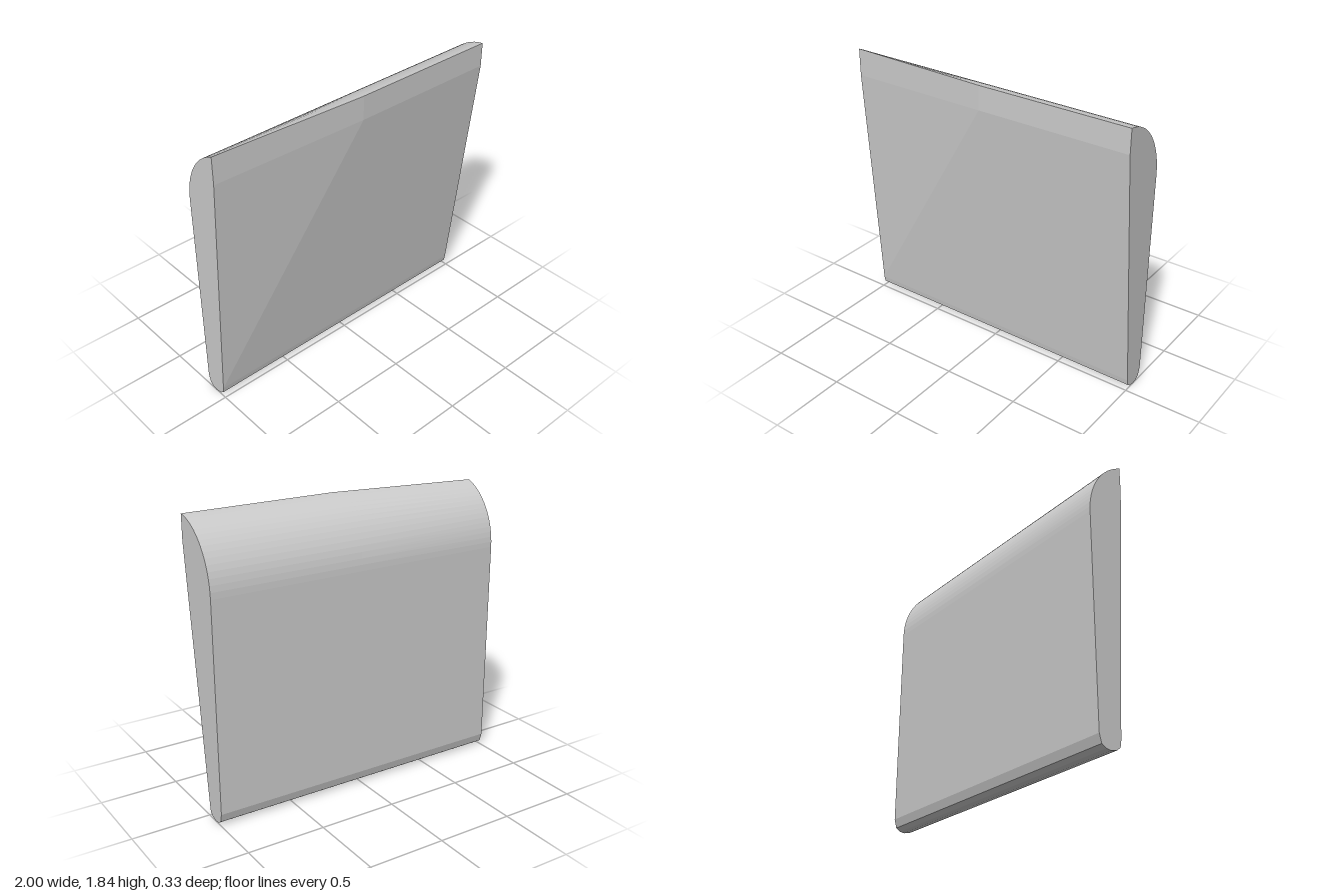
import * as THREE from 'three';

// Closed [z, y] cross-section, from the top front edge down, round the foot and up the back.
function section(zFront, yFront) {
  const points = [
    [zFront, yFront], [-0.013, 0.07], [-0.02, 0.03], [-0.045, 0.01], [-0.09, 0],
    [-0.12, 0.005], [-0.15, 0.025], [-0.165, 0.08],
  ];
  // rounded top: elliptical arc that stops at the front plane
  const cz = 0.2, cy = 1.42, rz = 0.365, ry = 0.417, steps = 16;
  const end = Math.acos((cz - zFront) / rz);
  for (let i = 0; i <= steps; i++) {
    const a = (end * i) / steps;
    points.push([cz - rz * Math.cos(a), cy + ry * Math.sin(a)]);
  }
  return points;
}

// Skin a row of sections along x and close both ends.
function loft(stations) {
  const positions = [];
  const rings = stations.map(({ x, points }) => points.map(([z, y]) => [x, y, z]));
  const tri = (a, b, c) => positions.push(...a, ...b, ...c);
  const n = rings[0].length;
  for (let s = 0; s < rings.length - 1; s++) {
    for (let i = 0; i < n; i++) {
      const j = (i + 1) % n;
      const a = rings[s][i], b = rings[s + 1][i], c = rings[s + 1][j], d = rings[s][j];
      tri(a, d, b);
      tri(d, c, b);
    }
  }
  const first = rings[0], last = rings[rings.length - 1];
  for (let i = 1; i < n - 1; i++) {
    tri(first[0], first[i + 1], first[i]);
    tri(last[0], last[i], last[i + 1]);
  }
  const geometry = new THREE.BufferGeometry();
  geometry.setAttribute('position', new THREE.Float32BufferAttribute(positions, 3));
  geometry.computeVertexNormals();
  return geometry;
}

export function createModel() {
  const group = new THREE.Group();
  group.name = 'taperedPanel';

  // constant wedge on the left half, front face tapering back towards the right end
  const full = section(0.165, 1.68);
  const thin = section(0.085, 1.64);
  const panel = new THREE.Mesh(
    loft([{ x: -1, points: thin }, { x: 0, points: full }, { x: 1, points: full }]),
    new THREE.MeshStandardMaterial({ color: 0xcccccc, flatShading: true })
  );
  panel.name = 'panelBody';
  group.add(panel);
  return group;
}
